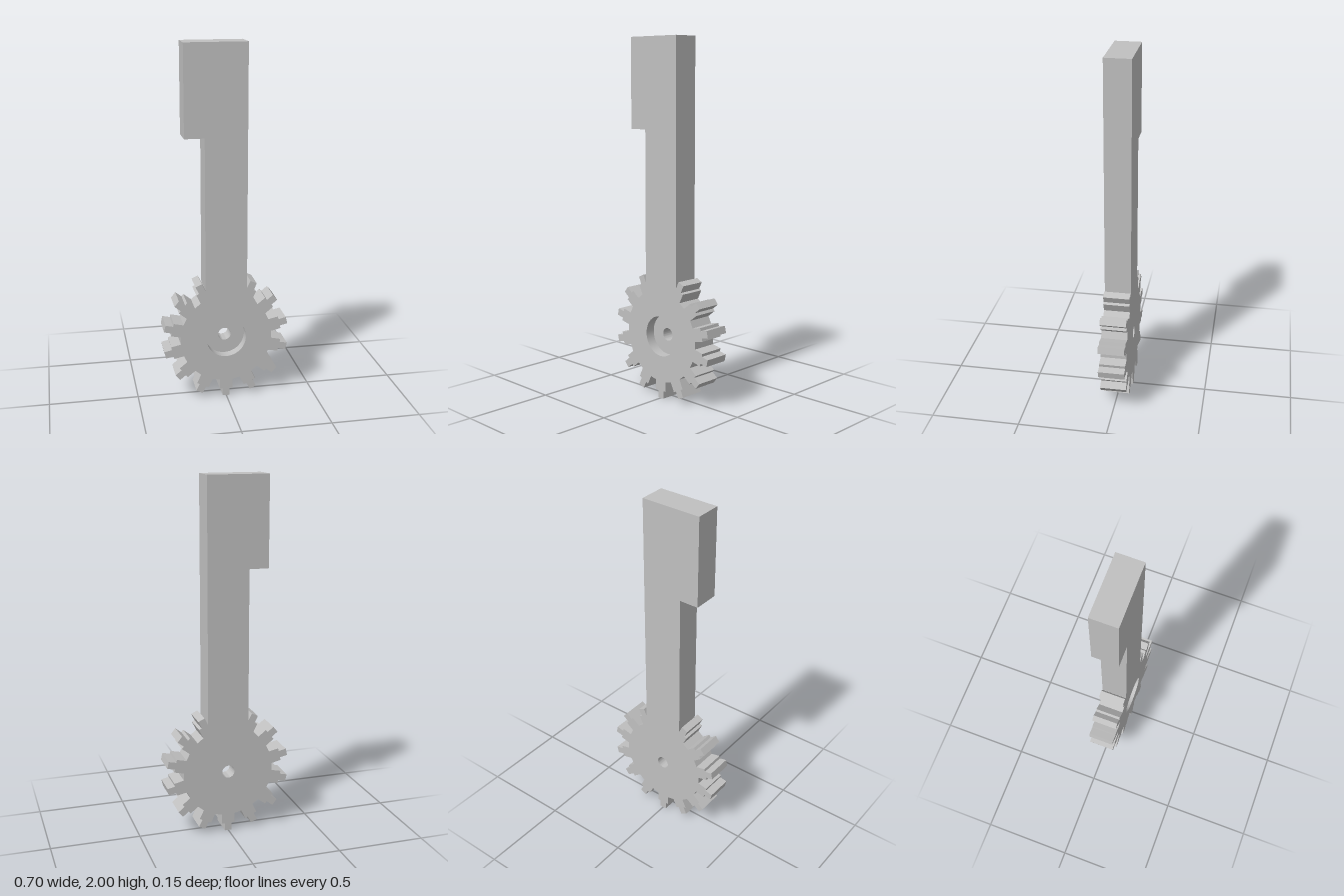
import * as THREE from 'three';
import { toCreasedNormals } from 'three/addons/utils/BufferGeometryUtils.js';

const THICK = 0.147;        // plate thickness
const CY = 0.357;           // gear centre height
const TEETH = 14;
const R_ROOT = 0.257, R_STEP = 0.313, R_TIP = 0.357;
const W_BASE = 0.037, W_TIP = 0.02;   // tooth half widths
const R_BORE = 0.113, R_HOLE = 0.036, BORE_DEPTH = 0.057;
const ARM = 0.117;          // arm half width

// Point at radius r and sideways offset s on the tooth at angle a (clockwise from the top)
function toothPoint(a, r, s) {
  return new THREE.Vector2(
    r * Math.sin(a) + s * Math.cos(a),
    CY + r * Math.cos(a) - s * Math.sin(a)
  );
}

function circlePath(PathType, r) {
  const p = new PathType();
  p.absarc(0, CY, r, 0, Math.PI * 2, false);
  return p;
}

function extrude(shape, depth) {
  const geo = new THREE.ExtrudeGeometry(shape, { depth, bevelEnabled: false, curveSegments: 24 });
  geo.translate(0, 0, -THICK / 2);
  return toCreasedNormals(geo, Math.PI / 6);
}

export function createModel() {
  const group = new THREE.Group();
  group.name = 'gearKey';
  const grey = new THREE.MeshStandardMaterial({ color: 0xc0c0c0 });
  grey.name = 'plain grey';

  // Stepped teeth; the arm replaces the top tooth and meets its neighbours at their steps
  const half = [
    [R_ROOT, -W_BASE], [R_STEP, -W_BASE], [R_STEP, -W_TIP], [R_TIP, -W_TIP],
    [R_TIP, W_TIP], [R_STEP, W_TIP], [R_STEP, W_BASE], [R_ROOT, W_BASE],
  ];
  const outline = [];
  for (let k = 1; k < TEETH; k++) {
    const a = (k / TEETH) * Math.PI * 2;
    let profile = half;
    if (k === 1) profile = half.slice(2);
    if (k === TEETH - 1) profile = half.slice(0, 6);
    profile.forEach(([r, s]) => outline.push(toothPoint(a, r, s)));
  }
  // Arm with a flag on one side
  [[-ARM, 0.648], [-ARM, 1.5], [-0.227, 1.5], [-0.227, 2], [ARM, 2], [ARM, 0.648]]
    .forEach(([x, y]) => outline.push(new THREE.Vector2(x, y)));

  const bodyShape = new THREE.Shape(outline);
  bodyShape.holes.push(circlePath(THREE.Path, R_BORE));
  const body = new THREE.Mesh(extrude(bodyShape, THICK), grey);
  body.name = 'gearAndArm';
  group.add(body);

  // Floor of the front recess, with the axle hole through it
  const webShape = circlePath(THREE.Shape, R_BORE);
  webShape.holes.push(circlePath(THREE.Path, R_HOLE));
  const web = new THREE.Mesh(extrude(webShape, THICK - BORE_DEPTH), grey);
  web.name = 'hubWeb';
  group.add(web);

  return group;
}
